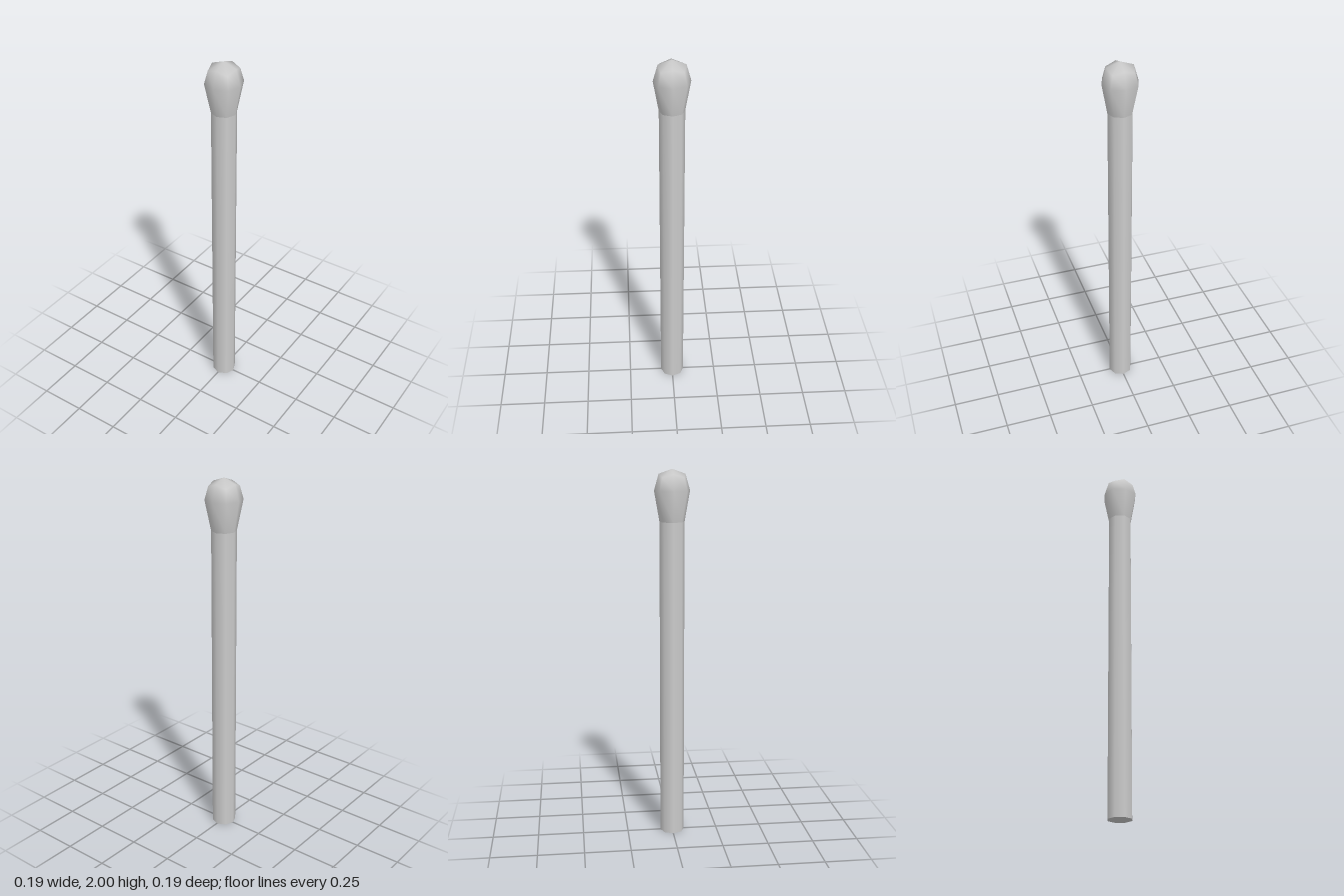
import * as THREE from 'three';
import { mergeVertices } from 'three/addons/utils/BufferGeometryUtils.js';

const SIDES = 8;
const material = new THREE.MeshStandardMaterial({ color: 0xcccccc });

// Eight-sided bulb: each ring has one radius and height on the axes, another on the diagonals
function bulbGeometry(rings) {
  const profile = rings.map(([r, y]) => new THREE.Vector2(r, y));
  const lathe = new THREE.LatheGeometry(profile, SIDES);
  const pos = lathe.attributes.position;
  for (let i = 1; i < SIDES; i += 2) {
    const angle = (i / SIDES) * Math.PI * 2;
    rings.forEach(([, , r, y], j) => {
      pos.setXYZ(i * rings.length + j, Math.sin(angle) * r, y, Math.cos(angle) * r);
    });
  }
  // Weld the seam and tip so the shading runs smoothly around
  lathe.deleteAttribute('normal');
  lathe.deleteAttribute('uv');
  const geometry = mergeVertices(lathe);
  geometry.computeVertexNormals();
  return geometry;
}

export function createModel() {
  const group = new THREE.Group();
  group.name = 'matchstick';

  // Straight stick with a closed foot
  const stickHeight = 1.735;
  const stick = new THREE.Mesh(
    new THREE.CylinderGeometry(0.066, 0.066, stickHeight, SIDES), material);
  stick.name = 'stick';
  stick.position.y = stickHeight / 2;
  group.add(stick);

  // Swollen head: [axis radius, axis height, diagonal radius, diagonal height]
  const head = new THREE.Mesh(bulbGeometry([
    [0.066, 1.73, 0.066, 1.73],
    [0.094, 1.89, 0.099, 1.89],
    [0.07, 1.975, 0.08, 1.957],
    [0, 2, 0, 2],
  ]), material);
  head.name = 'head';
  group.add(head);

  return group;
}
